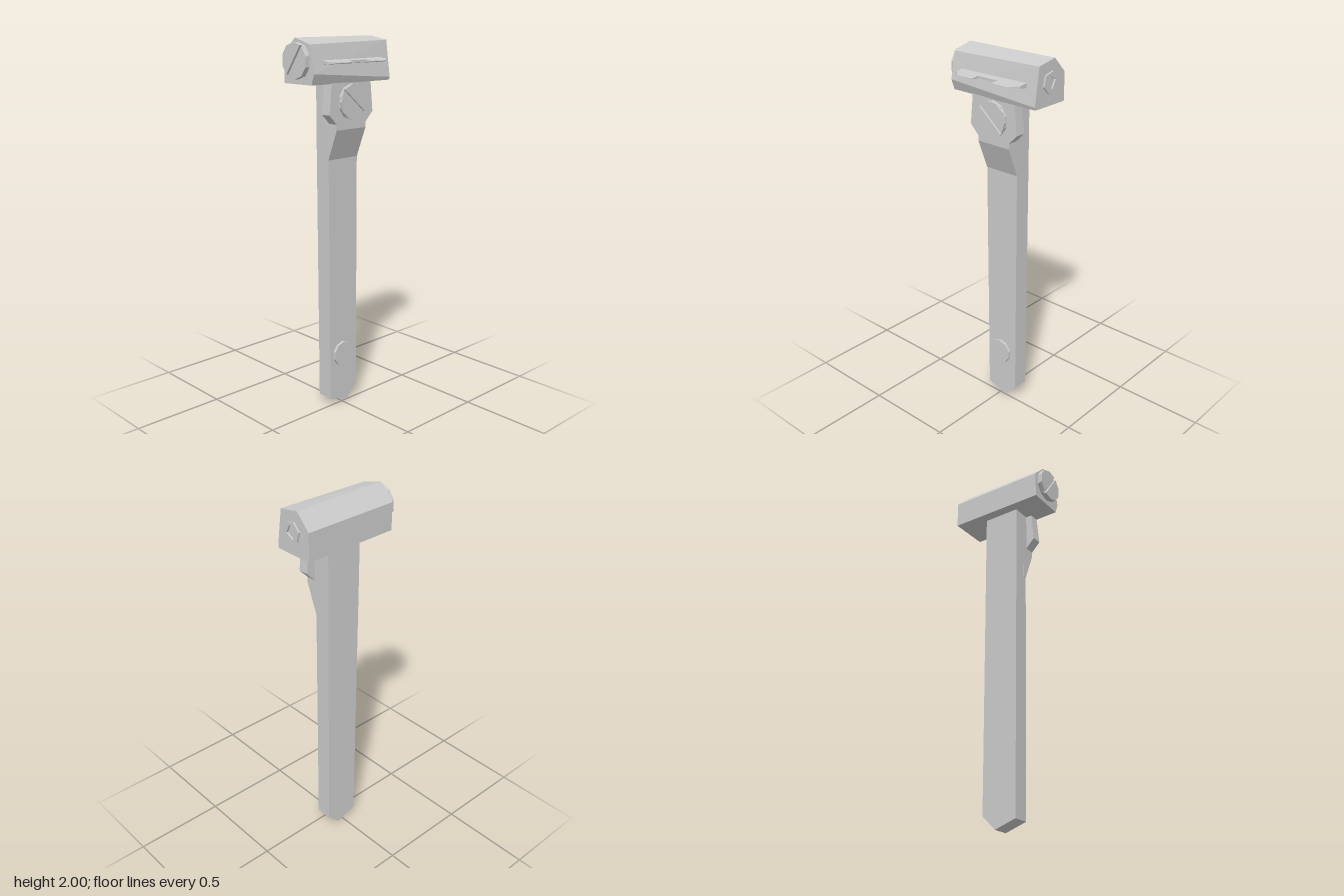
import * as THREE from 'three';
import { ConvexGeometry } from 'three/addons/geometries/ConvexGeometry.js';

const mat = new THREE.MeshStandardMaterial({ color: 0xcccccc, flatShading: true });

function part(name, geometry) {
  const mesh = new THREE.Mesh(geometry, mat);
  mesh.name = name;
  return mesh;
}

const toPoints = (pairs) => pairs.map(([x, y]) => new THREE.Vector2(x, y));

// outline of [x, y] pairs, with an optional hole, pushed along z between z0 and z1
function slab(outline, z0, z1, hole) {
  const shape = new THREE.Shape(toPoints(outline));
  if (hole) shape.holes.push(new THREE.Path(toPoints(hole)));
  return new THREE.ExtrudeGeometry(shape, { depth: z1 - z0, bevelEnabled: false }).translate(0, 0, z0);
}

// side profile of [z, y] pairs pushed along x between x0 and x1
function sideSlab(profile, x0, x1) {
  return slab(profile.map(([z, y]) => [-z, y]), x0, x1).rotateY(Math.PI / 2);
}

// points of a regular polygon
function polygon(sides, r, turn) {
  return Array.from({ length: sides }, (_, i) => {
    const a = turn + i * 2 * Math.PI / sides;
    return [r * Math.cos(a), r * Math.sin(a)];
  });
}

// flat disc facing +z
function disc(r, z0, z1, sides) {
  return new THREE.CylinderGeometry(r, r, z1 - z0, sides).rotateX(Math.PI / 2).translate(0, 0, (z0 + z1) / 2);
}

// slotted screw facing +z: base disc and two half discs either side of a groove
function screw(name, r, height, angle) {
  const g = new THREE.Group();
  g.name = name;
  g.add(part(name + 'Base', disc(r, -0.01, height * 0.55, 10)));
  const a0 = Math.asin(0.007 / r);
  for (const turn of [0, Math.PI]) {
    const half = [];
    for (let i = 0; i <= 5; i++) {
      const a = a0 + (Math.PI - 2 * a0) * i / 5;
      half.push([r * Math.cos(a), r * Math.sin(a)]);
    }
    const m = part(name + 'Half', slab(half, height * 0.5, height));
    m.rotation.z = angle + turn;
    g.add(m);
  }
  return g;
}

export function createModel() {
  const model = new THREE.Group();

  // handle with a crooked pointed foot
  model.add(part('handle', slab([
    [-0.095, 1.8], [-0.095, 1.57], [-0.085, 0.04], [0.035, 0], [0.11, 0.075], [0.11, 1.8],
  ], -0.09, 0)));

  // raised ramp leading up to the collar
  model.add(part('ramp', sideSlab([
    [-0.02, 1.38], [0, 1.38], [0.063, 1.54], [0.063, 1.79], [-0.02, 1.79],
  ], -0.095, 0.11)));

  // flared collar plate below the head
  model.add(part('collar', slab([
    [-0.127, 1.795], [-0.145, 1.62], [-0.095, 1.57], [0.11, 1.57], [0.16, 1.62], [0.142, 1.795],
  ], 0.008, 0.064)));

  // slightly uneven head, a six-sided section at each end
  const ends = [
    [-0.26, [[-0.06, 2], [0.053, 1.97], [0.08, 1.83], [0.06, 1.775], [-0.142, 1.775], [-0.142, 1.92]]],
    [0.278, [[-0.07, 2], [0.045, 1.98], [0.073, 1.79], [0.068, 1.775], [-0.147, 1.775], [-0.147, 1.92]]],
  ];
  const corners = ends.flatMap(([x, s]) => s.map(([z, y]) => new THREE.Vector3(x, y, z)));
  model.add(part('head', new ConvexGeometry(corners)));

  // notched blade on the front, thinning to an edge
  const blade = slab([
    [-0.197, 0.05], [0.215, 0.05], [0.215, 0.105], [0.172, 0.147], [0.07, 0.147],
    [0.07, 0.103], [-0.055, 0.103], [-0.055, 0.147], [-0.153, 0.147], [-0.197, 0.105],
  ], -0.5, 0.5);
  const p = blade.attributes.position;
  for (let i = 0; i < p.count; i++) {
    const thickness = THREE.MathUtils.mapLinear(p.getY(i), 0.05, 0.147, 0.026, 0.003);
    p.setZ(i, p.getZ(i) * thickness);
  }
  blade.rotateX(Math.PI / 2).translate(0, 1.882, 0);
  blade.computeVertexNormals();
  model.add(part('blade', blade));

  // collar screw
  const collarScrew = screw('collarScrew', 0.092, 0.022, -0.7);
  collarScrew.position.set(0.008, 1.68, 0.064);
  model.add(collarScrew);

  // plain stud near the foot
  const stud = part('stud', disc(0.07, -0.01, 0.014, 10));
  stud.position.set(0.005, 0.29, 0);
  model.add(stud);

  // large slotted cap on the head's right end
  const cap = screw('endCap', 0.09, 0.028, 0.95);
  cap.rotation.y = -Math.PI / 2;
  cap.position.set(-0.26, 1.89, -0.037);
  model.add(cap);

  // small socket nut on the head's left end
  const nut = part('socketNut', slab(polygon(6, 0.055, 0.25), -0.01, 0.009, polygon(4, 0.035, 0.3)));
  nut.rotation.y = Math.PI / 2;
  nut.position.set(0.278, 1.89, -0.035);
  model.add(nut);

  return model;
}
